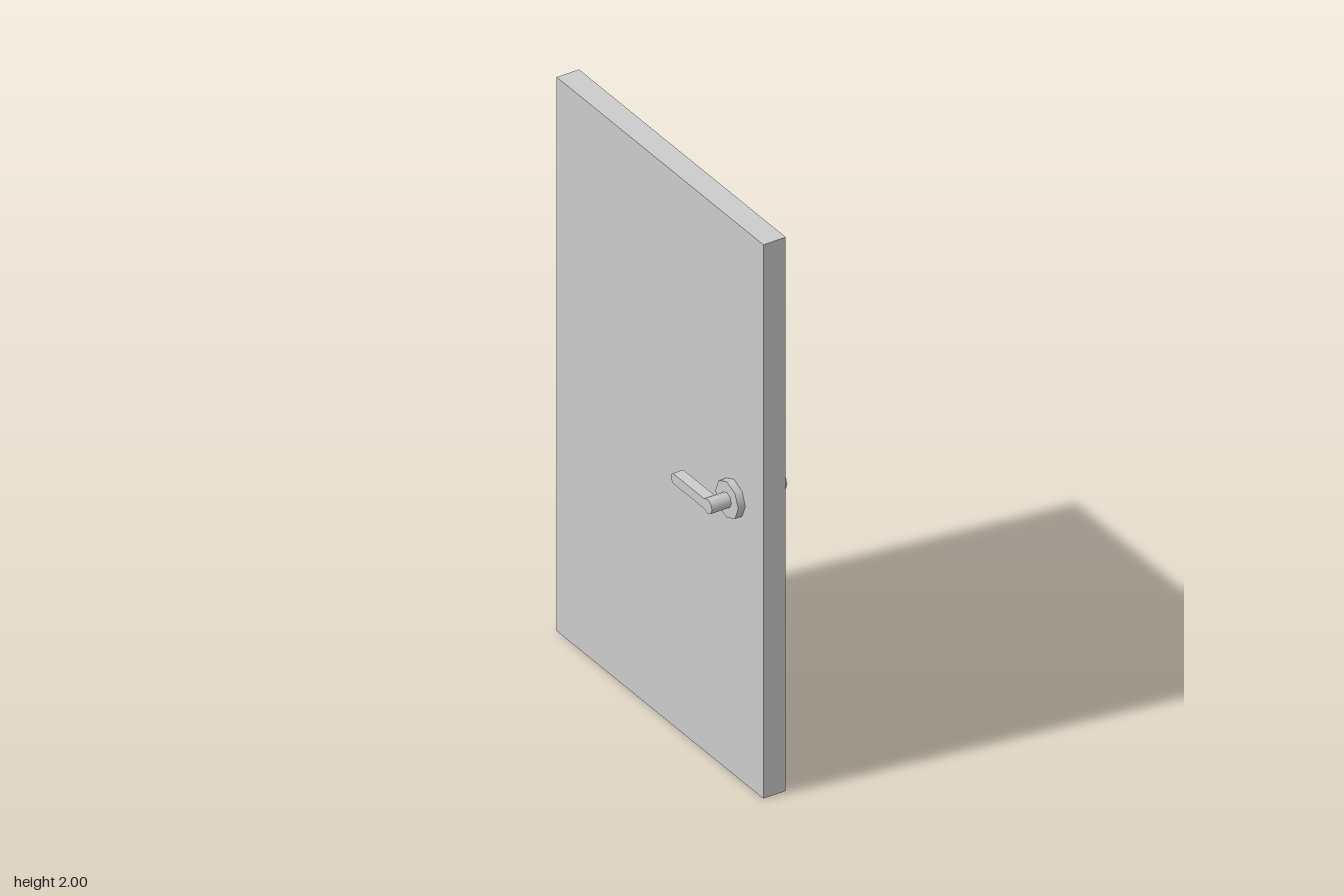
import * as THREE from 'three';

const HANDLE_Y = 1.002, HANDLE_Z = 0.417;

export function createModel() {
  const group = new THREE.Group();
  const material = new THREE.MeshStandardMaterial({ color: 0xcccccc });

  const add = (name, geometry, x, y, z) => {
    const mesh = new THREE.Mesh(geometry, material);
    mesh.name = name;
    mesh.position.set(x, y, z);
    group.add(mesh);
  };

  // eight-sided disc or pin lying along x
  const pin = (radius, length) =>
    new THREE.CylinderGeometry(radius, radius, length, 8).rotateZ(Math.PI / 2);

  // lever bar profile in z-y, with a chamfered free end
  const half = 0.018, end = -0.202, chamfer = 0.007;
  const profile = new THREE.Shape([
    [0, -half], [0, half], [end + chamfer, half], [end, half - chamfer],
    [end, -half + chamfer], [end + chamfer, -half],
  ].map(([z, y]) => new THREE.Vector2(z, y)));
  const lever = new THREE.ExtrudeGeometry(profile, { depth: 0.038, bevelEnabled: false })
    .translate(0, 0, -0.019)
    .rotateY(-Math.PI / 2);

  // door slab
  add('doorPanel', new THREE.BoxGeometry(0.082, 2, 1.166), 0, 1, 0);

  // matching handle on each face
  for (const side of [1, -1]) {
    const prefix = side > 0 ? 'left' : 'right';
    add(prefix + 'Rosette', pin(0.065, 0.027), side * 0.0535, HANDLE_Y, HANDLE_Z);
    add(prefix + 'Spindle', pin(0.026, 0.072), side * 0.102, HANDLE_Y, HANDLE_Z);
    add(prefix + 'Lever', lever, side * 0.119, HANDLE_Y, HANDLE_Z);
  }
  return group;
}
